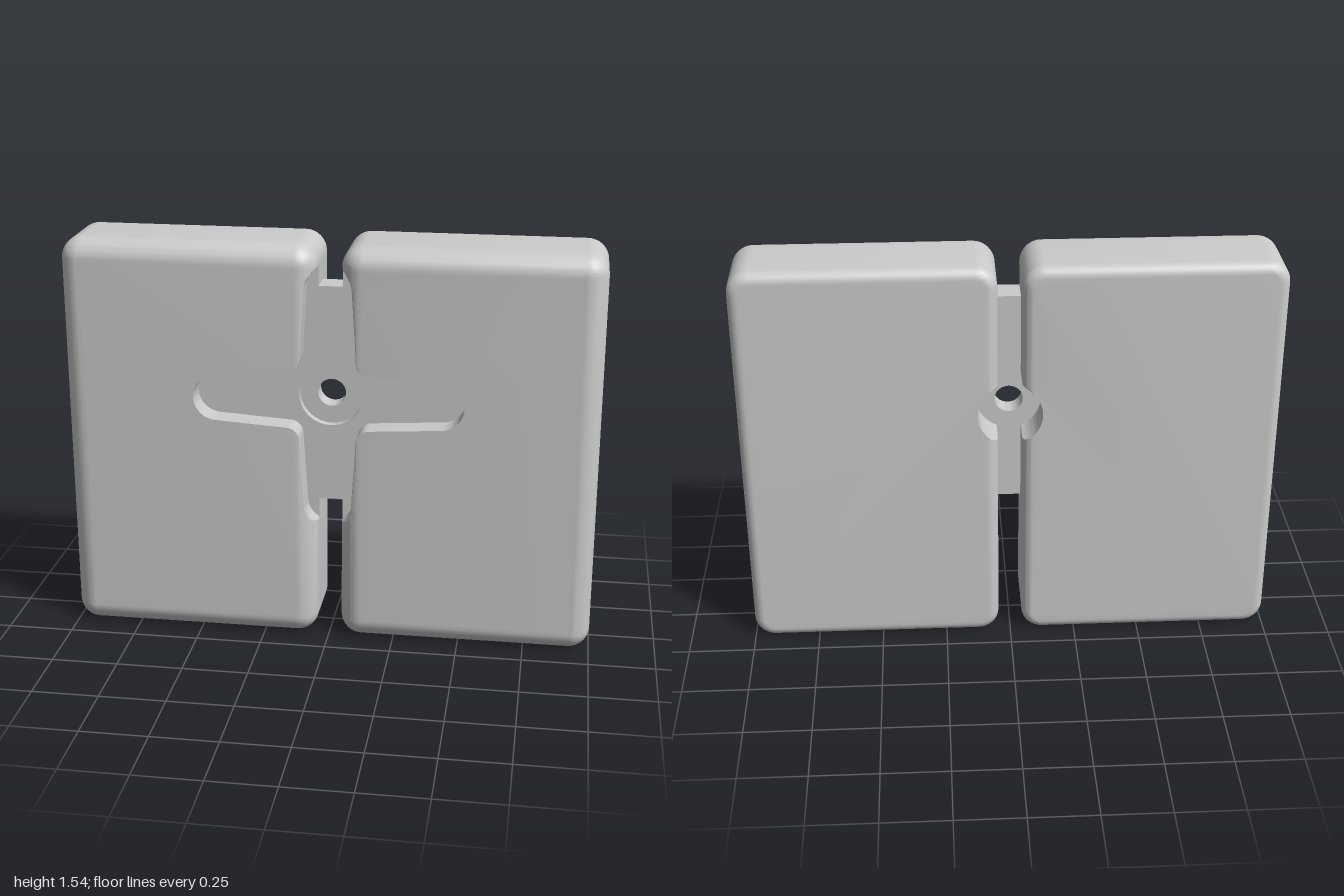
import * as THREE from 'three';
import { toCreasedNormals } from 'three/addons/utils/BufferGeometryUtils.js';

const H = 1.54, INNER = 0.045, OUTER = 1, CY = 0.96;   // slab extents, centre height of the cross
const BACK = -0.17, FRONT = 0.17;
const CORNER = 0.08, FRONT_R = 0.08, BACK_R = 0.04;     // corner and edge fillets
const PLATE_BACK = -0.03, BORE_FLOOR = 0.045, PLATE_FRONT = 0.075;
const HOLE = 0.053, BORE = 0.12;

const arc = (cx, cy, r, a0, a1, n) => Array.from({ length: n + 1 }, (_, i) => {
  const a = a0 + (a1 - a0) * i / n;
  return [cx + r * Math.cos(a), cy + r * Math.sin(a)];
});

// Right half of each cut, as [x, y] points from top to bottom around the cross centre
function mirrorDown(upper) {
  return [...upper, ...upper.slice().reverse().map(([x, y]) => [x, -y])];
}
const circleCut = r => mirrorDown(arc(0, 0, r, Math.PI / 2, 0.02, 16));
const crossCut = mirrorDown([
  ...arc(0, 0.417, 0.088, Math.PI / 2, 0.04, 12),
  ...arc(0.155, 0.155, 0.05, Math.PI + 0.05, Math.PI * 1.5 - 0.05, 8),
  ...arc(0.417, 0, 0.088, Math.PI / 2 - 0.04, 0.02, 12),
]);
const boreCut = circleCut(BORE), holeCut = circleCut(HOLE);

// Width of a cut at height y
function cutWidth(cut, y) {
  for (let i = 0; i + 1 < cut.length; i++) {
    const [x0, y0] = cut[i], [x1, y1] = cut[i + 1];
    if (y <= y0 && y >= y1) return y0 - y1 < 1e-9 ? x0 : x0 + (x1 - x0) * (y0 - y) / (y0 - y1);
  }
  return 0;
}

// Shared heights along the inner edge, so every cross-section has the same point count
const heights = [...new Set([...crossCut, ...boreCut, ...holeCut].map(p => +p[1].toFixed(5)))]
  .filter(y => Math.abs(y) < 0.495).sort((a, b) => b - a);

// One cross-section: a rounded rectangle inset by d, its inner edge pushed back by the cut
function section(z, d, cut) {
  const r = Math.max(CORNER - d, 0.001), x0 = INNER + d, x1 = OUTER - d, P = Math.PI;
  const loop = [
    ...heights.map(y => [Math.max(x0, cutWidth(cut, y)), y + CY]),
    ...arc(x0 + r, d + r, r, P, 1.5 * P, 8),
    ...arc(x1 - r, d + r, r, 1.5 * P, 2 * P, 8),
    ...arc(x1 - r, H - d - r, r, 0, P / 2, 8),
    ...arc(x0 + r, H - d - r, r, P / 2, P, 8),
  ];
  return loop.map(([x, y]) => new THREE.Vector3(x, y, z));
}

function slabGeometry(side) {
  const sections = [];
  const fillet = (r, z, dir, cut, n) => {
    for (let i = 0; i <= n; i++) {
      const a = (dir < 0 ? n - i : i) / n * Math.PI / 2;
      sections.push(section(z + dir * r * Math.sin(a), r * (1 - Math.cos(a)), cut));
    }
  };
  fillet(BACK_R, BACK + BACK_R, -1, boreCut, 8);
  sections.push(section(PLATE_BACK, 0, boreCut), section(PLATE_BACK, 0, holeCut));
  sections.push(section(BORE_FLOOR, 0, holeCut), section(BORE_FLOOR, 0, boreCut));
  sections.push(section(PLATE_FRONT, 0, boreCut), section(PLATE_FRONT, 0, crossCut));
  fillet(FRONT_R, FRONT - FRONT_R, 1, crossCut, 14);

  const pos = [], tri = new THREE.Triangle();
  const face = (a, b, c) => {
    if (tri.set(a, b, c).getArea() < 1e-9) return;
    for (const p of side > 0 ? [a, b, c] : [a, c, b]) pos.push(p.x * side, p.y, p.z);
  };
  for (let k = 0; k + 1 < sections.length; k++) {
    const a = sections[k], b = sections[k + 1], n = a.length;
    for (let i = 0; i < n; i++) {
      const j = (i + 1) % n;
      face(a[i], a[j], b[j]);
      face(a[i], b[j], b[i]);
    }
  }
  // Flat back and front faces
  const cap = (loop, flip) => {
    const flat = loop.map(p => new THREE.Vector2(p.x, p.y));
    for (const [i, j, k] of THREE.ShapeUtils.triangulateShape(flat, [])) {
      if (flip) face(loop[i], loop[k], loop[j]);
      else face(loop[i], loop[j], loop[k]);
    }
  };
  cap(sections[0], true);
  cap(sections[sections.length - 1], false);
  const g = new THREE.BufferGeometry();
  g.setAttribute('position', new THREE.Float32BufferAttribute(pos, 3));
  return toCreasedNormals(g, 0.5);
}

// Piece of the connecting plate: a strip above or below the centre, ending in an arc of radius r
function bridgeGeometry(r, z0, z1, dir) {
  const end = 0.417, a = Math.acos(INNER / r);
  const pts = [[INNER, end], [-INNER, end], ...arc(0, 0, r, Math.PI - a, a, 16)];
  const shape = new THREE.Shape(pts.map(([x, y]) => new THREE.Vector2(x, CY + dir * y)));
  const g = new THREE.ExtrudeGeometry(shape, { depth: z1 - z0, bevelEnabled: false });
  g.translate(0, 0, z0);
  return toCreasedNormals(g, 0.5);
}

export function createModel() {
  const model = new THREE.Group();
  const material = new THREE.MeshStandardMaterial({ color: 0xcccccc });
  const add = (name, geometry, parent) => {
    const mesh = new THREE.Mesh(geometry, material);
    mesh.name = name;
    parent.add(mesh);
  };
  add('leftSlab', slabGeometry(1), model);
  add('rightSlab', slabGeometry(-1), model);

  // Plate joining the slabs, with a through hole and a wider counterbore in front
  const bridge = new THREE.Group();
  bridge.name = 'bridge';
  for (const [dir, name] of [[1, 'upper'], [-1, 'lower']]) {
    add(name + 'BridgeBack', bridgeGeometry(HOLE, PLATE_BACK, BORE_FLOOR, dir), bridge);
    add(name + 'BridgeFront', bridgeGeometry(BORE, BORE_FLOOR, PLATE_FRONT, dir), bridge);
  }
  model.add(bridge);
  return model;
}
